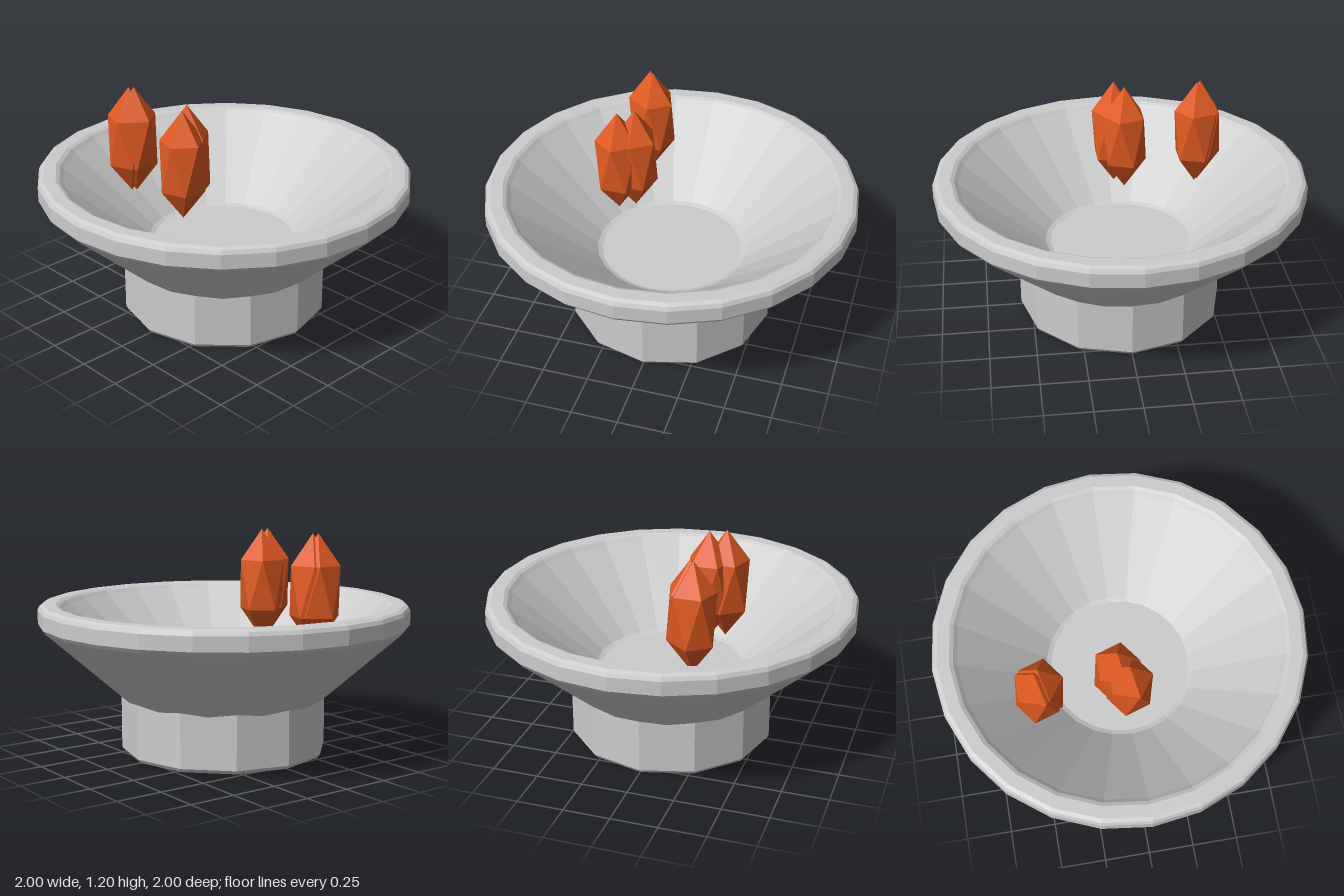
import * as THREE from 'three';
import { ConvexGeometry } from 'three/addons/geometries/ConvexGeometry.js';

const stone = new THREE.MeshStandardMaterial({ color: 0xcccccc, flatShading: true });
stone.name = 'paleStone';
const ember = new THREE.MeshStandardMaterial({ color: 0xe05a22, flatShading: true });
ember.name = 'emberOrange';

// Faceted solid of revolution from [radius, height] pairs
function turned(name, profile, sides) {
  const points = profile.map(([r, y]) => new THREE.Vector2(r, y));
  const mesh = new THREE.Mesh(new THREE.LatheGeometry(points, sides), stone);
  mesh.name = name;
  return mesh;
}

// Tall twenty-sided crystal: two opposed pentagon rings between two tips
function crystalGeometry(radius, halfHeight) {
  const points = [new THREE.Vector3(0, halfHeight, 0), new THREE.Vector3(0, -halfHeight, 0)];
  const ring = radius * 0.8944, level = halfHeight * 0.4472;
  for (let i = 0; i < 5; i++) {
    const a = (i / 5) * Math.PI * 2;
    const x = Math.cos(a) * ring, z = Math.sin(a) * ring;
    points.push(new THREE.Vector3(x, level, z), new THREE.Vector3(-x, -level, z));
  }
  return new ConvexGeometry(points);
}

export function createModel() {
  const model = new THREE.Group();
  model.name = 'emberBowl';

  // Twelve-sided foot with a small bottom bevel
  model.add(turned('foot', [[0, 0], [0.545, 0], [0.56, 0.02], [0.56, 0.34], [0, 0.34]], 12));

  // Thick flared bowl: outside, bevelled rim, inside, floor
  model.add(turned('bowl', [
    [0, 0.17], [0.4, 0.17], [0.985, 0.69], [1, 0.71], [1, 0.785], [0.99, 0.805],
    [0.97, 0.815], [0.905, 0.815], [0.885, 0.805], [0.865, 0.785],
    [0.41, 0.4], [0.385, 0.39], [0, 0.39],
  ], 24));

  // Two overlapping pairs of crystals hovering over the bowl
  const geometry = crystalGeometry(0.135, 0.3);
  const crystals = new THREE.Group();
  crystals.name = 'crystals';
  [[-0.47, 0.26], [-0.45, 0.24], [-0.05, 0.22], [0, 0.3]].forEach(([x, z], i) => {
    const crystal = new THREE.Mesh(geometry, ember);
    crystal.name = `crystal${i + 1}`;
    crystal.position.set(x, 0.9, z);
    crystals.add(crystal);
  });
  model.add(crystals);

  return model;
}
